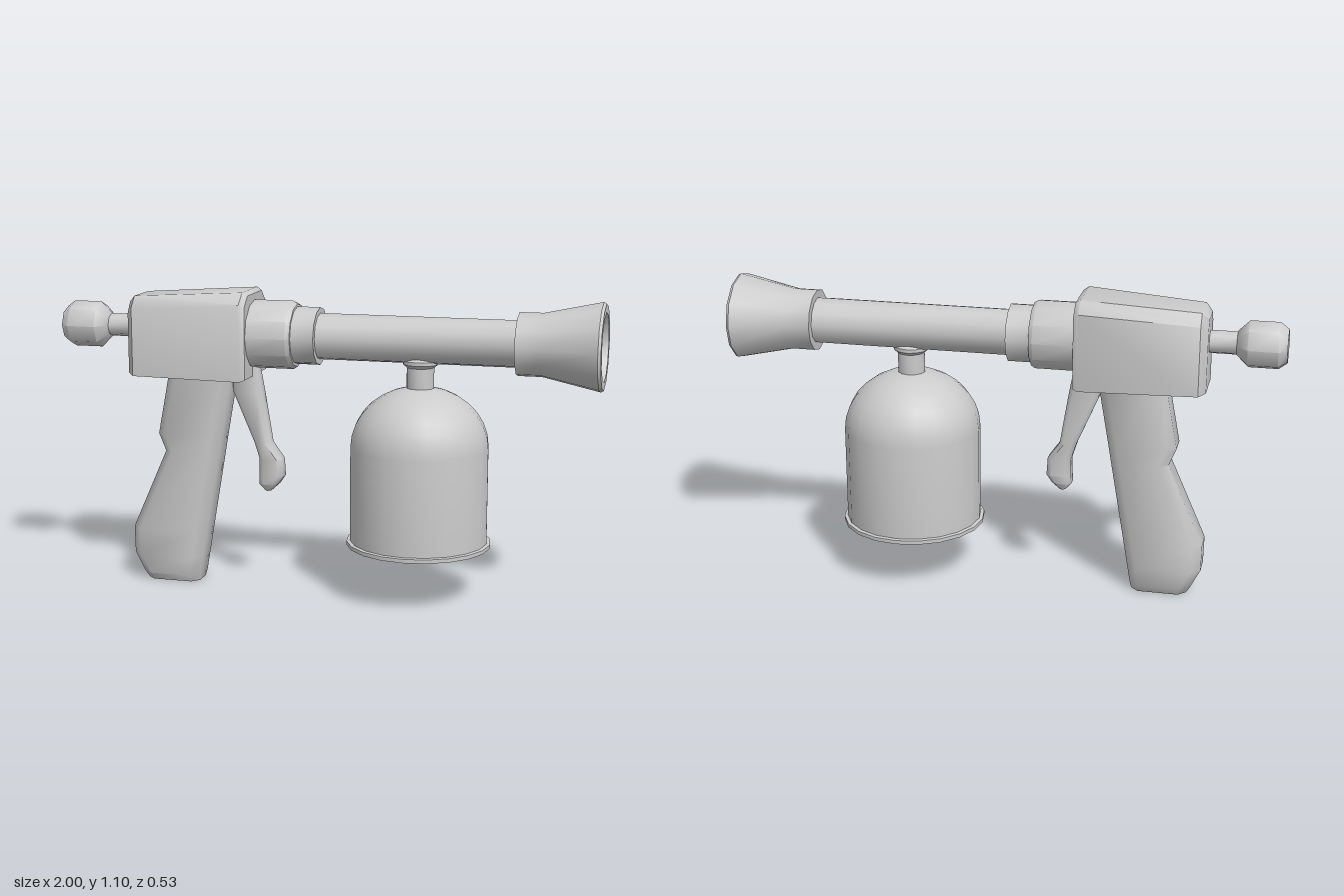
import * as THREE from 'three';
import { toCreasedNormals } from 'three/addons/utils/BufferGeometryUtils.js';

const material = new THREE.MeshStandardMaterial({ color: 0xcccccc });
const AXIS_Y = 0.947;

function addPart(parent, name, geometry, crease = 0.7) {
  const mesh = new THREE.Mesh(toCreasedNormals(geometry, crease), material);
  mesh.name = name;
  parent.add(mesh);
  return mesh;
}

// Lathe from [radius, height] pairs
function turned(profile, sides) {
  return new THREE.LatheGeometry(profile.map(([r, h]) => new THREE.Vector2(r, h)), sides);
}

// Lathe lying along x on the barrel axis, from [radius, x] pairs
function turnedAlongX(profile, sides) {
  return turned(profile, sides).rotateZ(-Math.PI / 2).translate(0, AXIS_Y, 0);
}

// Skin over equal-sized rings of [x, y, z], closed at both ends
function loft(rings) {
  const n = rings[0].length;
  const index = [];
  for (let i = 0; i < rings.length - 1; i++) {
    for (let j = 0; j < n; j++) {
      const a = i * n + j, b = i * n + (j + 1) % n;
      index.push(a, b, b + n, a, b + n, a + n);
    }
  }
  const last = (rings.length - 1) * n;
  for (let j = 1; j < n - 1; j++) {
    index.push(0, j + 1, j, last, last + j, last + j + 1);
  }
  const geometry = new THREE.BufferGeometry();
  geometry.setAttribute('position', new THREE.Float32BufferAttribute(rings.flat(2), 3));
  geometry.setIndex(index);
  return geometry;
}

// Horizontal bevelled section: y, back x, front x, half width
function bevelledRing([y, x0, x1, w]) {
  const c = w * 0.45;
  return [
    [x1, y, w - c], [x1, y, c - w], [x1 - c, y, -w], [x0 + c, y, -w],
    [x0, y, c - w], [x0, y, w - c], [x0 + c, y, w], [x1 - c, y, w],
  ];
}

// Body section: x, bottom y, top y, half width; bevelled only along the top
function bodyRing([x, y0, y1, w]) {
  const shoulder = y1 - 0.04, flat = w * 0.66;
  return [
    [x, y1, -flat], [x, y1, flat], [x, shoulder, w],
    [x, y0, w], [x, y0, -w], [x, shoulder, -w],
  ];
}

export function createModel() {
  const model = new THREE.Group();
  model.name = 'sprayGun';

  // Rear pull knob on its rod
  addPart(model, 'rearKnob', turnedAlongX([
    [0, -1], [0.062, -1], [0.085, -0.97], [0.085, -0.865], [0.045, -0.825], [0, -0.825],
  ], 8).translate(0, 0.013, 0), 0.85);
  addPart(model, 'rearRod', turnedAlongX([
    [0.042, -0.84], [0.042, -0.7],
  ], 8).translate(0, 0.013, 0), 0.85);

  // Tapered body
  addPart(model, 'body', loft([
    [-0.73, 0.795, 1.055, 0.08], [-0.705, 0.788, 1.08, 0.108],
    [-0.285, 0.788, 1.107, 0.14], [-0.267, 0.795, 1.095, 0.13],
  ].map(bodyRing)), 0.75);

  // Stepped collar and barrel
  addPart(model, 'rearCollar', turnedAlongX([
    [0, -0.28], [0.125, -0.28], [0.125, -0.12], [0.115, -0.105], [0, -0.105],
  ], 12));
  addPart(model, 'frontCollar', turnedAlongX([
    [0, -0.12], [0.105, -0.12], [0.105, -0.02], [0, -0.02],
  ], 12));
  addPart(model, 'barrel', turnedAlongX([[0.084, -0.03], [0.084, 0.72]], 12));

  // Hollow flared nozzle
  addPart(model, 'nozzle', turnedAlongX([
    [0, 0.7], [0.113, 0.7], [0.113, 0.785], [0.158, 0.99], [0.152, 1],
    [0.122, 1], [0.112, 0.97], [0.085, 0.8], [0, 0.785],
  ], 12));

  // Domed canister hanging from the barrel
  const canister = new THREE.Group();
  canister.name = 'canister';
  canister.position.x = 0.35;
  model.add(canister);
  const dome = [];
  for (let i = 0; i <= 8; i++) {
    const t = (i / 8) * Math.PI / 2;
    dome.push([0.25 * Math.cos(t), 0.56 + 0.22 * Math.sin(t)]);
  }
  addPart(canister, 'tank', turned([[0.25, 0.205], ...dome], 20));
  addPart(canister, 'baseRim', turned([
    [0, 0.198], [0.263, 0.198], [0.263, 0.212], [0.25, 0.214],
  ], 20));
  addPart(canister, 'neck', turned([
    [0.05, 0.76], [0.05, 0.85], [0.064, 0.862], [0.064, 0.875], [0.045, 0.89], [0, 0.89],
  ], 12));

  // Angled pistol grip
  addPart(model, 'grip', loft([
    [0.003, -0.685, -0.483, 0.06], [0.03, -0.7, -0.478, 0.077],
    [0.1, -0.736, -0.466, 0.078], [0.2, -0.738, -0.449, 0.078],
    [0.5, -0.605, -0.397, 0.075], [0.565, -0.632, -0.386, 0.075],
    [0.82, -0.583, -0.341, 0.075],
  ].map(bevelledRing)), 0.85);

  // Trigger lever with a kicked-out tip
  addPart(model, 'trigger', loft([
    [0.365, -0.228, -0.205, 0.024], [0.39, -0.25, -0.178, 0.034],
    [0.42, -0.248, -0.158, 0.036], [0.485, -0.247, -0.162, 0.036],
    [0.545, -0.266, -0.205, 0.036], [0.73, -0.345, -0.235, 0.036],
    [0.84, -0.355, -0.255, 0.036],
  ].map(bevelledRing)), 0.85);

  return model;
}
